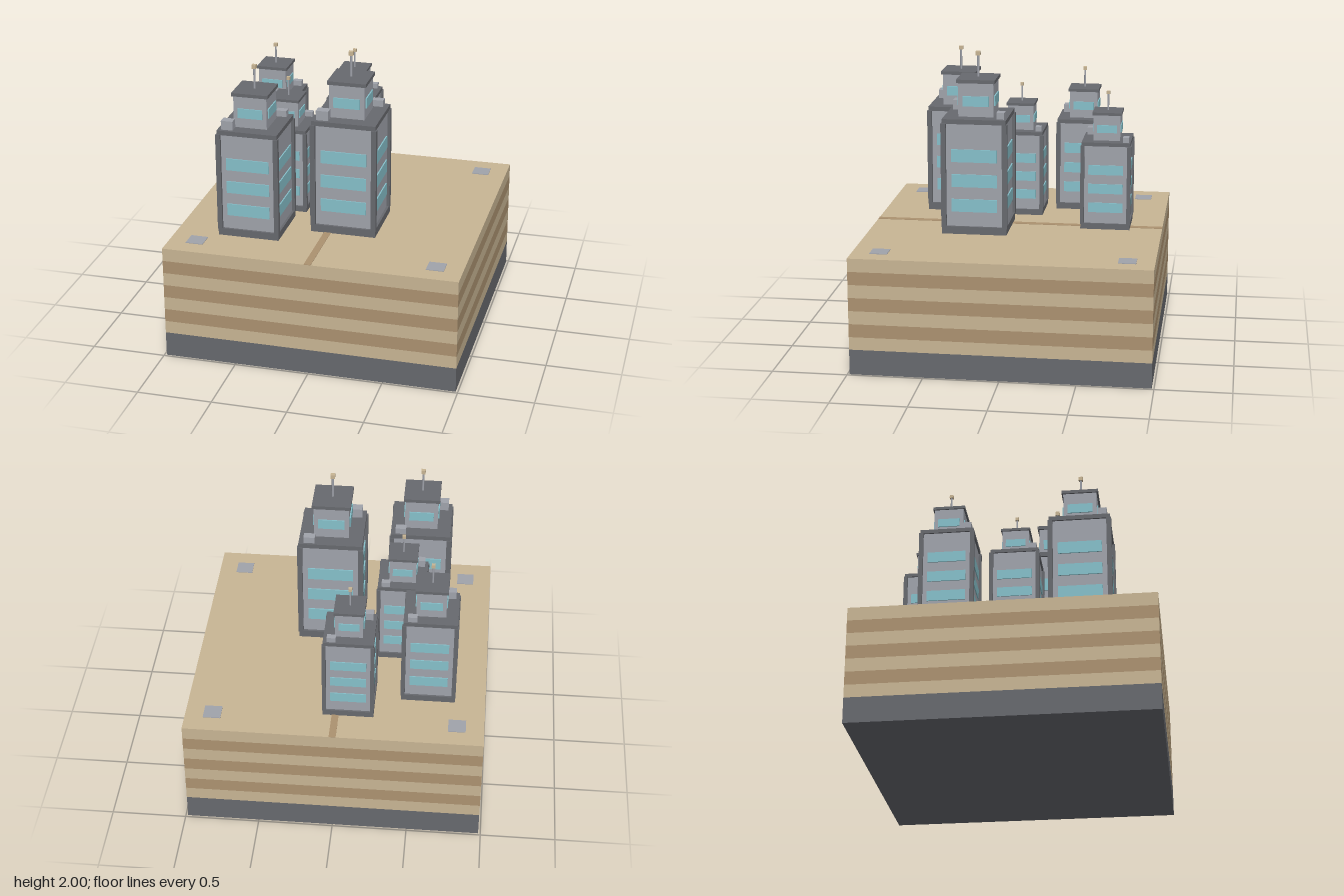
import * as THREE from 'three';

const mat = (name, color) => {
  const m = new THREE.MeshStandardMaterial({ color });
  m.name = name;
  return m;
};

export function createModel() {
  const dark = mat('dark grey', 0x67696e);
  const sand = mat('sand', 0xc8b594);
  const brown = mat('brown', 0xac9270);
  const wall = mat('light grey', 0xa0a3ab);
  const glass = mat('window blue', 0x86c0ca);

  const model = new THREE.Group();
  model.name = 'cityBlock';

  // Box given by its centre in x and z and its bottom and top in y
  const box = (parent, name, material, w, d, y0, y1, x = 0, z = 0) => {
    const mesh = new THREE.Mesh(new THREE.BoxGeometry(w, y1 - y0, d), material);
    mesh.name = name;
    mesh.position.set(x, (y0 + y1) / 2, z);
    parent.add(mesh);
    return mesh;
  };

  // Layered ground block
  const side = 1.97, ground = 0.788;
  const levels = [0, 0.17, 0.256, 0.345, 0.434, 0.523, 0.611, 0.699, ground];
  for (let i = 0; i < levels.length - 1; i++) {
    const material = i === 0 ? dark : i % 2 ? sand : brown;
    box(model, i === 0 ? 'foundation' : 'groundLayer' + i, material, side, side, levels[i], levels[i + 1]);
  }

  // Path and corner pads on the ground
  box(model, 'path', brown, 0.046, side, ground, ground + 0.003, -0.002);
  for (const x of [-0.806, 0.806])
    for (const z of [-0.806, 0.806])
      box(model, 'cornerPad', wall, 0.116, 0.116, ground, ground + 0.004, x, z);

  // One thin window band on each of the four faces
  const windowBand = (parent, width, half, y0, y1) => {
    for (let i = 0; i < 4; i++) {
      const face = new THREE.Group();
      face.name = 'windowFace';
      face.rotation.y = i * Math.PI / 2;
      box(face, 'window', glass, width, 0.009, y0, y1, 0, half + 0.004);
      parent.add(face);
    }
  };

  // Tower at full size; the others are scaled copies
  const tower = (x, z, scale) => {
    const t = new THREE.Group();
    t.name = 'tower';
    t.position.set(x, ground, z);
    t.scale.setScalar(scale);

    // Lower block with corner pillars
    box(t, 'plinth', dark, 0.438, 0.438, 0, 0.052);
    box(t, 'lowerWalls', wall, 0.405, 0.405, 0.052, 0.757);
    for (const px of [-1, 1])
      for (const pz of [-1, 1])
        box(t, 'cornerPillar', dark, 0.034, 0.034, 0.045, 0.757, px * 0.206, pz * 0.206);
    box(t, 'lowerRoof', dark, 0.43, 0.43, 0.755, 0.787);
    for (const y of [0.153, 0.324, 0.495]) windowBand(t, 0.307, 0.2025, y, y + 0.087);

    // Rooftop units
    box(t, 'largeRoofUnit', wall, 0.083, 0.064, 0.787, 0.852, -0.147, 0.16);
    box(t, 'smallRoofUnit', wall, 0.076, 0.053, 0.787, 0.831, 0.143, -0.174);

    // Upper block
    box(t, 'upperWalls', wall, 0.237, 0.237, 0.787, 1.017);
    box(t, 'upperRoof', dark, 0.26, 0.26, 1.015, 1.039);
    windowBand(t, 0.176, 0.1185, 0.858, 0.927);

    // Antenna
    const mast = new THREE.Mesh(new THREE.CylinderGeometry(0.008, 0.008, 0.15, 8), wall);
    mast.name = 'antennaMast';
    mast.position.y = 1.112;
    t.add(mast);
    box(t, 'antennaLight', sand, 0.03, 0.03, 1.185, 1.212);
    model.add(t);
  };

  tower(0.105, 0.262, 1);
  tower(-0.488, 0.477, 0.942);
  tower(-0.39, 0.03, 0.752);
  tower(-0.602, -0.39, 0.82);
  tower(-0.086, -0.598, 0.764);

  return model;
}
